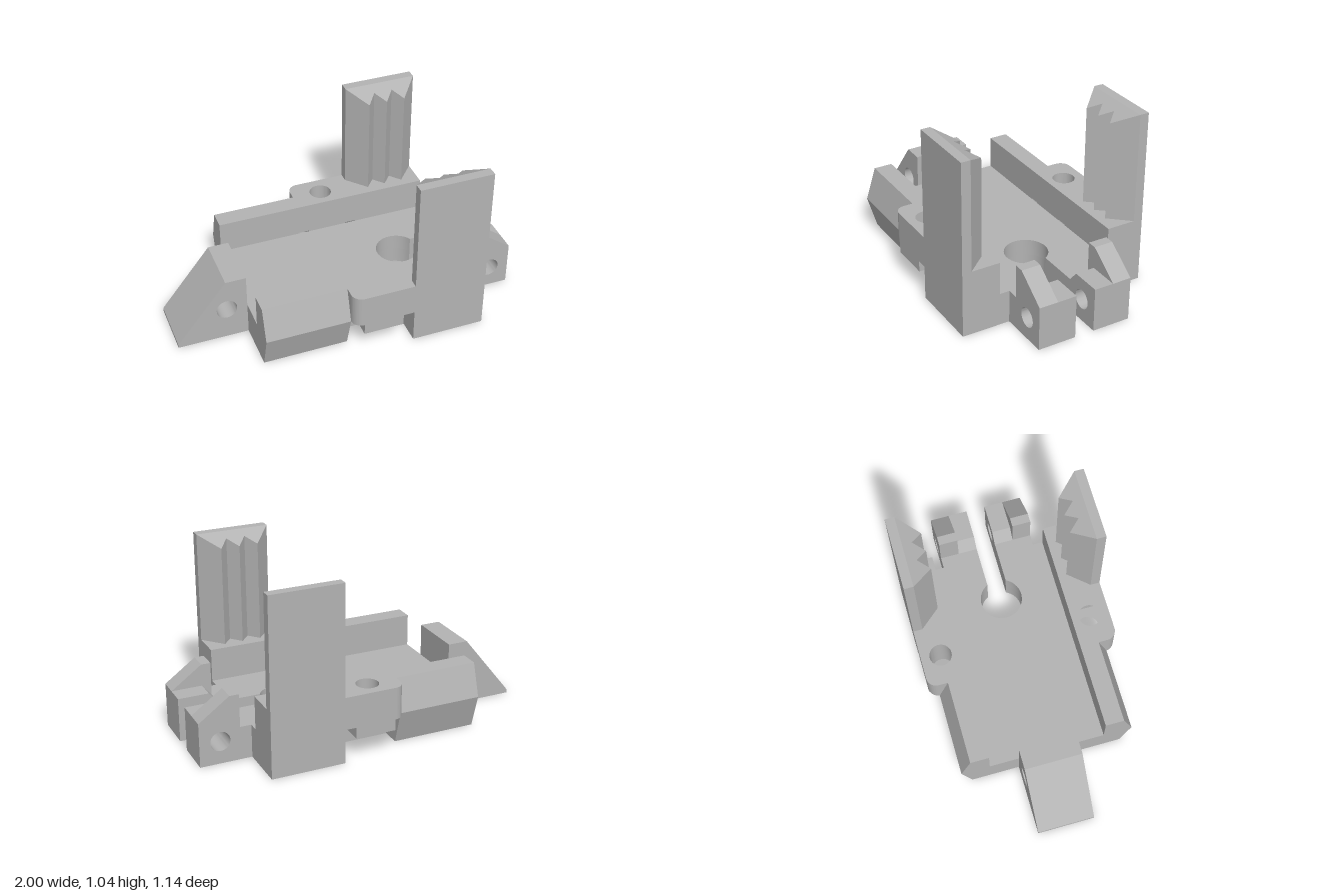
import * as THREE from 'three';
import { toCreasedNormals } from 'three/addons/utils/BufferGeometryUtils.js';

const FLOOR = 0.195, TOP = 0.39;

export function createModel() {
  const model = new THREE.Group();
  model.name = 'clampBase';
  const grey = new THREE.MeshStandardMaterial({ color: 0xb3b3b3 });
  grey.name = 'plain grey';

  const poly = (pts) => new THREE.Shape(pts.map(([x, y]) => new THREE.Vector2(x, y)));
  const drill = (shape, x, y, r) => {
    shape.holes.push(new THREE.Path().absarc(x, y, r, 0, Math.PI * 2, true));
    return shape;
  };
  const extrude = (shape, depth) =>
    new THREE.ExtrudeGeometry(shape, { depth, bevelEnabled: false, curveSegments: 20 });
  const add = (name, geo) => {
    const mesh = new THREE.Mesh(toCreasedNormals(geo, 0.4), grey);
    mesh.name = name;
    model.add(mesh);
  };
  // Plan shape (x, -z) raised from y0 to y1
  const plan = (shape, y0, y1) => extrude(shape, y1 - y0).rotateX(-Math.PI / 2).translate(0, y0, 0);
  // Side shape (x, y) spanning z0 to z1
  const side = (shape, z0, z1) => extrude(shape, z1 - z0).translate(0, 0, z0);

  // Floor plate with a keyhole opening, and a shallow slot underneath
  const floorShape = () => {
    const r = 0.125, cx = 0.405, h = 0.058, a = Math.asin(h / r);
    const s = new THREE.Shape();
    s.moveTo(-0.585, -0.345);
    s.lineTo(0.7, -0.345);
    s.lineTo(0.7, -h);
    s.lineTo(cx + r * Math.cos(a), -h);
    s.absarc(cx, 0, r, -a, a, true);
    s.lineTo(0.7, h);
    s.lineTo(0.7, 0.345);
    s.lineTo(-0.585, 0.345);
    s.closePath();
    return s;
  };
  const slotted = floorShape();
  slotted.holes.push(new THREE.Path(
    [[-0.31, -0.025], [-0.31, 0.025], [0.06, 0.025], [0.06, -0.025]].map((p) => new THREE.Vector2(...p))));
  add('floorBottom', plan(slotted, 0, 0.1));
  add('floorTop', plan(floorShape(), 0.1, FLOOR));

  // Sloping tongue with a cross hole
  const tongue = poly([[-1, 0], [-0.585, 0], [-0.585, TOP], [-0.705, TOP], [-1, 0.02]]);
  add('tongue', side(drill(tongue, -0.705, 0.197, 0.06), -0.17, 0.17));

  for (const s of [1, -1]) {
    const sideName = s > 0 ? 'front' : 'back';
    const band = (shape, a, b) => side(shape, Math.min(s * a, s * b), Math.max(s * a, s * b));
    const rect = (x0, x1, z0, z1) =>
      poly([[x0, -s * z0], [x1, -s * z0], [x1, -s * z1], [x0, -s * z1]]);

    // Rail with a ridged outer face
    const rail = poly([[0.345, 0], [0.455, 0], [0.515, 0.2], [0.455, TOP], [0.345, TOP]]
      .map(([z, y]) => [-s * z, y]));
    add(sideName + 'Rail', extrude(rail, 0.495).rotateY(Math.PI / 2).translate(-0.585, 0, 0));

    // Shoulder with one rounded corner and a bolt hole
    const shoulder = new THREE.Shape();
    shoulder.moveTo(0.7, -s * 0.345);
    shoulder.lineTo(0.7, -s * 0.57);
    shoulder.lineTo(-0.03, -s * 0.57);
    shoulder.absarc(-0.03, -s * 0.51, 0.06, -s * Math.PI / 2, -s * Math.PI, s > 0);
    shoulder.lineTo(-0.09, -s * 0.345);
    shoulder.closePath();
    add(sideName + 'Shoulder', plan(drill(shoulder, 0.085, -s * 0.453, 0.065), 0.2, TOP));
    add(sideName + 'BoltBoss',
      plan(drill(rect(-0.03, 0.205, 0.345, 0.57), 0.085, -s * 0.453, 0.065), 0.135, 0.2));
    add(sideName + 'Foot', plan(rect(0.27, 0.7, 0.345, 0.57), 0, 0.2));

    // Upright jaw: flat backing plate and a toothed face with a sloping top
    add(sideName + 'JawPlate', plan(rect(0.27, 0.7, 0.515, 0.57), TOP, 1.04));
    const teeth = poly([[0.27, 0.515], [0.375, 0.395], [0.43, 0.46], [0.485, 0.395],
      [0.54, 0.46], [0.595, 0.395], [0.7, 0.515]].map(([x, z]) => [x, -s * z]));
    const teethGeo = plan(teeth, TOP, 1.04);
    const p = teethGeo.attributes.position;
    for (let i = 0; i < p.count; i++) {
      if (p.getY(i) > 0.7) p.setY(i, 1.04 - (0.515 - Math.abs(p.getZ(i))) * 0.54);
    }
    add(sideName + 'JawTeeth', teethGeo);

    // Hinge lug: tall outer cheek and low inner cheek, drilled across
    const outer = poly([[0.7, 0], [1, 0], [1, 0.26], [0.82, TOP], [0.765, TOP], [0.765, FLOOR], [0.7, FLOOR]]);
    const inner = poly([[0.7, 0], [1, 0], [1, 0.26], [0.82, 0.26], [0.765, FLOOR], [0.7, FLOOR]]);
    add(sideName + 'LugOuter', band(drill(outer, 0.88, 0.132, 0.057), 0.172, 0.285));
    add(sideName + 'LugInner', band(drill(inner, 0.88, 0.132, 0.057), 0.058, 0.172));
  }
  return model;
}
